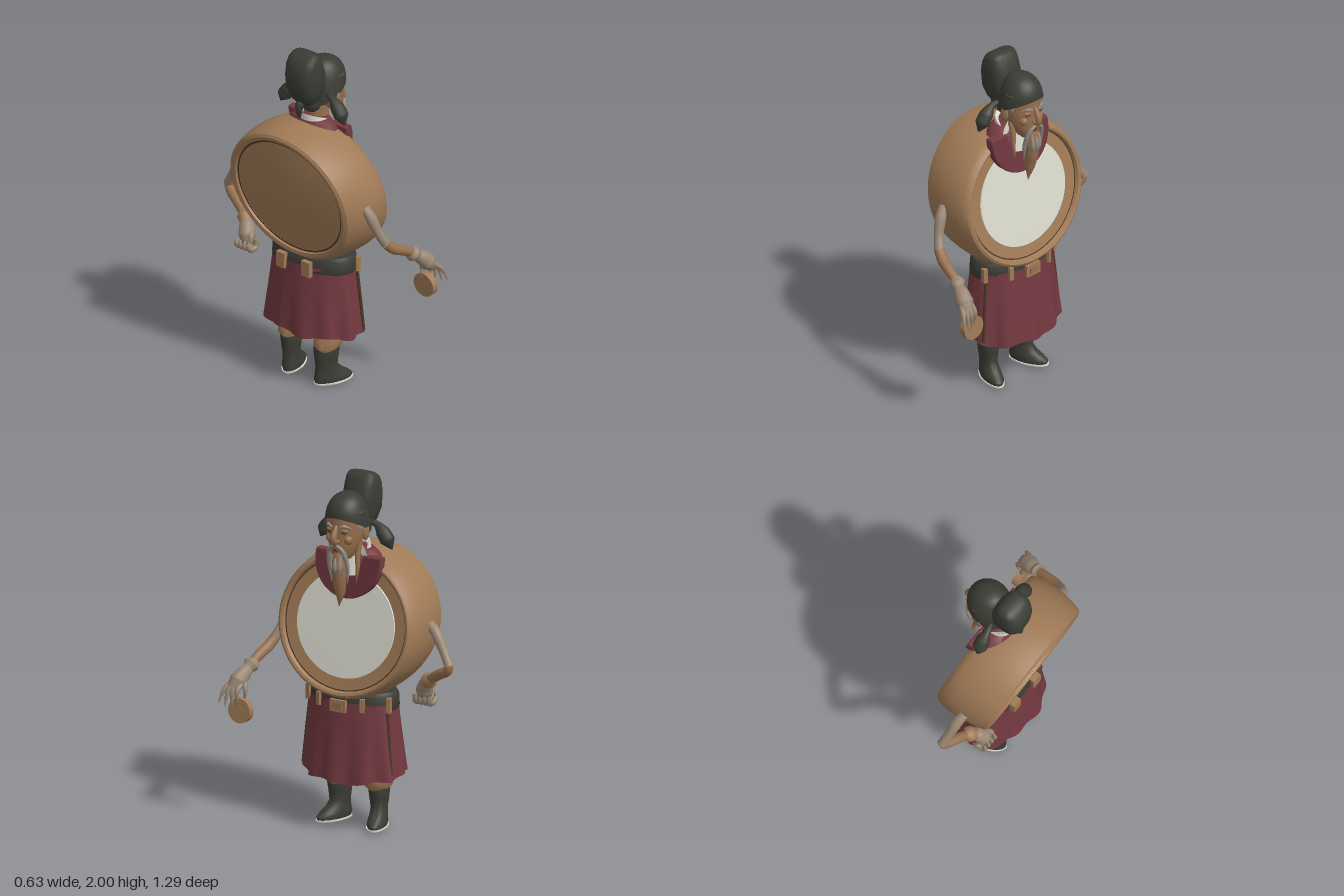
import * as THREE from 'three';
import { mergeVertices, toCreasedNormals } from 'three/addons/utils/BufferGeometryUtils.js';

const CZ = -0.038; // the body's middle plane; the figure looks along +x
const V = (p) => new THREE.Vector3(...p);

const mat = (name, color, side = THREE.FrontSide) => {
  const m = new THREE.MeshStandardMaterial({ color, side });
  m.name = name;
  return m;
};

// Change every vertex by a rule
function warp(geo, rule) {
  const p = geo.attributes.position, v = new THREE.Vector3();
  for (let i = 0; i < p.count; i++) {
    v.fromBufferAttribute(p, i);
    rule(v, i);
    p.setXYZ(i, v.x, v.y, v.z);
  }
  return geo;
}

// Closed cross-sections [y, xBack, xFront, halfWidth], stacked upward
function loft(rows, { n = 32, cz = 0, square = 1, caps = true, rule = null, crease = 0.9 } = {}) {
  const pos = [], idx = [];
  const pw = (v) => Math.sign(v) * Math.abs(v) ** square;
  for (const [y, x0, x1, rz] of rows)
    for (let i = 0; i < n; i++) {
      const a = (i / n) * Math.PI * 2;
      pos.push((x0 + x1) / 2 + (x1 - x0) / 2 * pw(Math.cos(a)), y, cz + rz * pw(Math.sin(a)));
    }
  for (let j = 0; j < rows.length - 1; j++)
    for (let i = 0; i < n; i++) {
      const a = j * n + i, b = j * n + (i + 1) % n;
      idx.push(a, a + n, b, b, a + n, b + n);
    }
  if (caps) {
    const last = rows.length - 1, c = rows.length * n;
    for (const j of [0, last]) pos.push((rows[j][1] + rows[j][2]) / 2, rows[j][0], cz);
    for (let i = 0; i < n; i++) {
      const k = (i + 1) % n;
      idx.push(c, i, k, c + 1, last * n + k, last * n + i);
    }
  }
  const g = new THREE.BufferGeometry();
  g.setAttribute('position', new THREE.Float32BufferAttribute(pos, 3));
  g.setIndex(idx);
  if (rule) warp(g, rule);
  return toCreasedNormals(g, crease);
}

// Tube with a radius that varies along the path
function limb(points, radii, seg = 24, n = 12) {
  const path = new THREE.CatmullRomCurve3(points.map(V));
  let g = new THREE.TubeGeometry(path, seg, 1, n);
  warp(g, (v, i) => {
    const t = Math.floor(i / (n + 1)) / seg, f = t * (radii.length - 1), k = Math.min(Math.floor(f), radii.length - 2);
    const c = path.getPointAt(t), r = THREE.MathUtils.lerp(radii[k], radii[k + 1], f - k);
    v.sub(c).multiplyScalar(r).add(c);
  });
  g.deleteAttribute('uv');
  g.deleteAttribute('normal');
  g = mergeVertices(g, 1e-5);
  g.computeVertexNormals();
  return g;
}

// Leans a shape along with the drum
const lean = (geo) => warp(geo, (v) => { v.x -= (v.y - 1.165) * 0.185; });

// Turned profile [radius, x] about the drum axis
function turned(profile) {
  const g = new THREE.LatheGeometry(profile.map((p) => new THREE.Vector2(...p)), 72);
  g.rotateZ(-Math.PI / 2).scale(1, 0.93, 1).translate(0, 1.165, CZ);
  return toCreasedNormals(lean(g), 0.6);
}

export function createModel() {
  const model = new THREE.Group();
  const wood = mat('wood', 0xa07a56), skin = mat('skin', 0x97704f), pale = mat('paleSkin', 0x998673);
  const grey = mat('greyHair', 0x918a82), dark = mat('darkCloth', 0x3a3c34, THREE.DoubleSide);
  const red = mat('redCloth', 0x733940, THREE.DoubleSide), white = mat('drumSkin', 0xd9d9cd, THREE.DoubleSide);
  const groove = mat('darkWood', 0x4d3724, THREE.DoubleSide);

  const add = (name, geo, m, parent = model) => {
    const mesh = new THREE.Mesh(geo, m);
    mesh.name = name;
    parent.add(mesh);
    return mesh;
  };
  const ball = (name, p, s, m, rot = [0, 0, 0]) => {
    const b = add(name, new THREE.SphereGeometry(1, 20, 14), m);
    b.position.set(...p);
    b.scale.set(...s);
    b.rotation.set(...rot);
    return b;
  };

  // Drum body with rolled rims
  add('drum', turned([[0, -0.235], [0.36, -0.235], [0.37, -0.232], [0.378, -0.252], [0.4, -0.257], [0.418, -0.245],
    [0.432, -0.2], [0.443, -0.13], [0.447, -0.07], [0.445, 0], [0.436, 0.05], [0.424, 0.078], [0.41, 0.087],
    [0.396, 0.083], [0.388, 0.062], [0.375, 0.06], [0, 0.06]]), wood);
  add('drumFrontGroove', turned([[0.39, 0.0645], [0.382, 0.0645]]), groove);
  add('drumBackGroove', turned([[0.362, -0.24], [0.372, -0.24]]), groove);
  add('drumSkin', turned([[0.315, 0.06], [0.313, 0.066], [0, 0.068]]), white);

  // Collar draped over the drum rim, with the white lining inside
  const bib = new THREE.Shape();
  bib.absarc(0, 0, 0.205, Math.PI - 0.15, Math.PI * 2 + 0.15, false);
  bib.absarc(0, 0.03, 0.1, Math.PI * 2, Math.PI, true);
  const bibGeo = new THREE.ExtrudeGeometry(bib, { depth: 0.035, bevelEnabled: true, bevelSize: 0.006, bevelThickness: 0.008, bevelSegments: 2, curveSegments: 32 });
  add('collarFront', lean(bibGeo.rotateY(Math.PI / 2).translate(0.07, 1.53, CZ)), red);
  add('collarBack', loft([[1.48, -0.14, 0.06, 0.17], [1.55, -0.14, 0.05, 0.16], [1.59, -0.12, 0.03, 0.11]], { cz: CZ }), red);
  add('shirtFront', lean(new THREE.CircleGeometry(0.12, 32).rotateY(Math.PI / 2).translate(0.1, 1.53, CZ)), white);
  add('shirtCollar', loft([[1.53, -0.12, 0.08, 0.11], [1.63, -0.12, 0.065, 0.085], [1.62, -0.1, 0.05, 0.07]],
    { cz: CZ, caps: false, rule: (v) => { v.y -= Math.max(0, v.x + 0.12) * 0.4; } }), white);
  add('neck', limb([[-0.02, 1.47, CZ], [0.01, 1.57, CZ], [0.03, 1.68, CZ]], [0.07, 0.062, 0.065]), skin);

  // Head and face
  add('head', loft([[1.545, 0.08, 0.13, 0.02], [1.56, 0.06, 0.148, 0.045], [1.59, 0.03, 0.158, 0.066], [1.63, -0.01, 0.163, 0.085],
    [1.67, -0.035, 0.163, 0.1], [1.72, -0.045, 0.163, 0.107], [1.77, -0.05, 0.165, 0.11], [1.83, -0.05, 0.16, 0.11]], { cz: CZ }), skin);
  add('nose', limb([[0.15, 1.765, CZ], [0.172, 1.73, CZ], [0.19, 1.685, CZ], [0.175, 1.662, CZ], [0.15, 1.66, CZ]],
    [0.008, 0.013, 0.018, 0.02, 0.01]), skin);
  add('mouth', limb([[0.146, 1.612, CZ - 0.03], [0.163, 1.615, CZ], [0.146, 1.612, CZ + 0.03]], [0, 0.008, 0]), groove);
  for (const s of [-1, 1]) {
    const z = (d) => CZ + s * d;
    ball('nostril', [0.172, 1.67, z(0.016)], [0.014, 0.011, 0.01], skin);
    ball('cheek', [0.125, 1.675, z(0.055)], [0.03, 0.03, 0.028], skin);
    ball('eye', [0.15, 1.717, z(0.045)], [0.012, 0.008, 0.017], groove);
    ball('eyelid', [0.148, 1.729, z(0.046)], [0.016, 0.008, 0.023], skin);
    add('eyebrow', limb([[0.168, 1.745, z(0.02)], [0.163, 1.757, z(0.045)], [0.13, 1.743, z(0.078)]], [0.004, 0.01, 0.002]), grey);
    ball('ear', [0.035, 1.705, z(0.112)], [0.024, 0.045, 0.014], skin, [0, s * 0.3, 0]);
    ball('templeHair', [0.07, 1.755, z(0.097)], [0.03, 0.04, 0.016], grey);
    add('moustache', limb([[0.172, 1.645, z(0.008)], [0.165, 1.62, z(0.04)], [0.14, 1.53, z(0.058)], [0.125, 1.42, z(0.052)]],
      [0.008, 0.014, 0.011, 0.001]), grey);
    add('sideLock', limb([[0.06, 1.66, z(0.095)], [0.075, 1.58, z(0.085)], [0.085, 1.5, z(0.09)], [0.085, 1.42, z(0.08)]],
      [0.012, 0.016, 0.011, 0.001]), skin);

    // Hanging flaps of the hat
    add('hatFlap', warp(limb([[-0.03, 1.745, z(0.09)], [-0.04, 1.735, z(0.135)], [-0.042, 1.68, z(0.185)], [-0.045, 1.605, z(0.228)]],
      [0.014, 0.02, 0.04, 0.042, 0.004]), (v) => { v.z -= s * (v.y - 1.68) * 0.05; }), dark);
  }
  add('beard', limb([[0.135, 1.6, CZ], [0.138, 1.54, CZ], [0.13, 1.45, CZ], [0.12, 1.37, CZ], [0.115, 1.28, CZ + 0.01]],
    [0.03, 0.046, 0.04, 0.027, 0.001]), skin);
  for (const d of [-0.025, 0, 0.025])
    add('beardStreak', limb([[0.158, 1.59, CZ + d], [0.175 - Math.abs(d) * 0.3, 1.53, CZ + d], [0.155, 1.44, CZ + d * 0.6]], [0.006, 0.014, 0.001]), grey);

  // Hat: domed cap with a sloping rim, tall block behind, knot tail
  const dome = [];
  for (let i = 0; i <= 9; i++) {
    const t = i / 9 * 1.45, c = Math.cos(t) ** 0.75;
    dome.push([1.8 + 0.12 * Math.sin(t), 0.04 - 0.13 * c, 0.04 + 0.132 * c, 0.123 * c]);
  }
  add('hatCap', loft(dome, { cz: CZ, rule: (v) => { v.y -= 0.52 * (1 - (v.y - 1.8) / 0.12) * (0.172 - v.x); } }), dark);
  add('hatBlock', loft([[1.69, -0.14, -0.03, 0.05], [1.73, -0.175, -0.02, 0.078], [1.79, -0.2, -0.01, 0.097], [1.87, -0.208, -0.01, 0.1],
    [1.93, -0.198, -0.03, 0.097], [1.97, -0.178, -0.045, 0.091], [1.992, -0.15, -0.06, 0.08], [2, -0.125, -0.08, 0.05]],
    { cz: CZ, square: 0.7 }), dark);
  add('hatTail', limb([[-0.11, 1.73, CZ], [-0.155, 1.7, CZ], [-0.16, 1.65, CZ], [-0.15, 1.61, CZ]], [0.02, 0.024, 0.02, 0.002]), dark);
  ball('hatKnot', [-0.06, 1.68, CZ], [0.05, 0.06, 0.06], dark);

  // Belt with buckles and pouches
  add('belt', loft([[0.695, -0.195, 0.128, 0.262], [0.71, -0.202, 0.135, 0.268], [0.78, -0.19, 0.13, 0.268], [0.8, -0.18, 0.12, 0.255]], { cz: CZ, n: 48 }), dark);
  const box = (name, p, size, m, ry = 0) => {
    const b = add(name, new THREE.BoxGeometry(...size), m);
    b.position.set(...p);
    b.rotation.y = ry;
  };
  box('buckle', [0.138, 0.72, CZ], [0.025, 0.068, 0.1], wood);
  box('bucklePin', [0.152, 0.72, CZ], [0.006, 0.036, 0.055], skin);
  for (const s of [-1, 1]) {
    box('beltLoop', [0.115, 0.735, CZ + s * 0.14], [0.025, 0.075, 0.025], wood, -s * 0.3);
    box('sideLoop', [0.03, 0.735, CZ + s * 0.258], [0.03, 0.085, 0.025], wood, -s * 0.25);
    box('backPouch', [-0.2, 0.735, CZ + s * 0.09], [0.03, 0.09, 0.06], wood);
  }

  // Pleated skirt panels, open at the sides
  const panel = (name, from, to, k) => {
    const g = new THREE.PlaneGeometry(1, 1, 64, 14);
    warp(g, (v) => {
      const a = from + (v.x + 0.5) * (to - from), d = 0.5 - v.y;
      const fold = 1 + 0.04 * d * Math.sin(a * 11 + 1) + 0.025 * d * Math.sin(a * 5);
      const hem = 0.325 - 0.038 * Math.max(0, Math.cos(a)) + 0.008 * Math.sin(a * 6);
      v.set(-0.036 + Math.cos(a) * (0.166 + 0.036 * d) * fold * k,
        THREE.MathUtils.lerp(0.74, hem, d),
        CZ + Math.sin(a) * (0.263 + 0.043 * d) * fold * k);
    });
    g.computeVertexNormals();
    add(name, g, red);
  };
  panel('skirtFront', -1.15, 1.15, 1.02);
  panel('skirtBack', 1.08, Math.PI * 2 - 1.08, 0.985);
  for (const s of [-1, 1])
    add('skirtSlitTrim', limb([[0.033, 0.71, CZ + s * 0.25], [0.042, 0.52, CZ + s * 0.268], [0.05, 0.33, CZ + s * 0.285]], [0.009, 0.009, 0.009]), groove);

  // Legs: dark breeches, gathered cuffs, boots turned outward
  for (const s of [-1, 1]) {
    const leg = new THREE.Group();
    leg.name = 'leg';
    leg.position.set(-0.075, 0, CZ + s * 0.128);
    model.add(leg);
    add('thigh', loft([[0.36, -0.08, 0.11, 0.075], [0.7, -0.09, 0.13, 0.1]]), dark, leg);
    add('trouserCuff', loft([[0.215, -0.07, 0.07, 0.055], [0.235, -0.085, 0.1, 0.068], [0.28, -0.085, 0.12, 0.073], [0.34, -0.08, 0.12, 0.076], [0.42, -0.075, 0.1, 0.07]],
      { rule: (v) => { v.x += 0.006 * Math.sin(v.y * 40 + v.z * 60); } }), wood, leg);
    const boot = new THREE.Group();
    boot.name = 'boot';
    boot.rotation.y = -s * 0.33;
    leg.add(boot);
    add('bootUpper', loft([[0.014, -0.075, 0.152, 0.05], [0.03, -0.078, 0.156, 0.054], [0.05, -0.077, 0.135, 0.052], [0.075, -0.073, 0.095, 0.048], [0.11, -0.068, 0.062, 0.046],
      [0.16, -0.074, 0.066, 0.053], [0.22, -0.08, 0.076, 0.06], [0.232, -0.078, 0.074, 0.058]]), dark, boot);
    add('sole', loft([[0, -0.07, 0.15, 0.048], [0.007, -0.08, 0.16, 0.057], [0.016, -0.08, 0.16, 0.057]]), white, boot);
  }

  // Arm reaching forward, holding a small wooden disc
  add('reachingUpperArm', limb([[-0.11, 1.19, 0.39], [-0.1, 1.14, 0.425], [-0.075, 1.04, 0.465], [-0.045, 0.975, 0.49]], [0.028, 0.032, 0.026, 0.028]), pale);
  add('reachingForearm', limb([[-0.05, 0.98, 0.488], [0, 0.935, 0.505], [0.07, 0.9, 0.52], [0.15, 0.855, 0.53]], [0.028, 0.032, 0.028, 0.026]), skin);
  add('reachingWristWrap', limb([[0.115, 0.88, 0.525], [0.13, 0.865, 0.527], [0.16, 0.845, 0.535]], [0.03, 0.046, 0.036]), pale);
  add('reachingPalm', limb([[0.14, 0.855, 0.53], [0.19, 0.82, 0.545], [0.235, 0.775, 0.56], [0.265, 0.745, 0.57]], [0.025, 0.042, 0.05, 0.03]), pale);
  [[0.305, 0.665, 0.635], [0.3, 0.65, 0.595], [0.285, 0.645, 0.56], [0.265, 0.65, 0.53]].forEach(([x, y, z], i) =>
    add('finger', limb([[0.235, 0.78, 0.588 - i * 0.02], [0.28, 0.735, 0.615 - i * 0.028], [x, y, z]], [0.017, 0.015, 0.009, 0.002], 14, 8), pale));
  add('thumb', limb([[0.2, 0.8, 0.53], [0.235, 0.74, 0.505], [0.225, 0.67, 0.515]], [0.018, 0.016, 0.009, 0.002], 14, 8), pale);
  const disc = add('heldDisc', new THREE.CylinderGeometry(0.07, 0.07, 0.04, 36), wood);
  disc.position.set(0.247, 0.628, 0.525);
  disc.rotation.z = -Math.PI / 2 + 0.05;

  // Bent arm, with its fist resting behind the hip
  add('bentUpperArm', limb([[-0.11, 1.19, -0.47], [-0.1, 1.16, -0.515], [-0.085, 1.07, -0.575], [-0.07, 0.985, -0.625]], [0.028, 0.032, 0.026, 0.028]), pale);
  add('bentForearm', limb([[-0.07, 1.0, -0.62], [-0.075, 0.965, -0.615], [-0.1, 0.92, -0.54], [-0.13, 0.865, -0.45]], [0.022, 0.03, 0.03, 0.026]), skin);
  add('bentWristWrap', limb([[-0.115, 0.885, -0.48], [-0.125, 0.87, -0.46], [-0.15, 0.845, -0.43]], [0.03, 0.046, 0.036]), wood);
  add('bentPalm', limb([[-0.13, 0.865, -0.45], [-0.16, 0.825, -0.415], [-0.18, 0.78, -0.395], [-0.19, 0.735, -0.39]], [0.025, 0.042, 0.05, 0.03]), pale);
  for (let i = 0; i < 4; i++) {
    const z = -0.435 + i * 0.029;
    add('curledFinger', limb([[-0.16, 0.765, z], [-0.165, 0.722, z], [-0.205, 0.715, z], [-0.228, 0.745, z], [-0.215, 0.77, z]],
      [0.016, 0.018, 0.016, 0.013, 0.003], 16, 8), pale);
  }
  add('bentThumb', limb([[-0.17, 0.82, -0.385], [-0.2, 0.79, -0.35], [-0.22, 0.75, -0.345]], [0.018, 0.016, 0.003], 14, 8), pale);

  return model;
}
